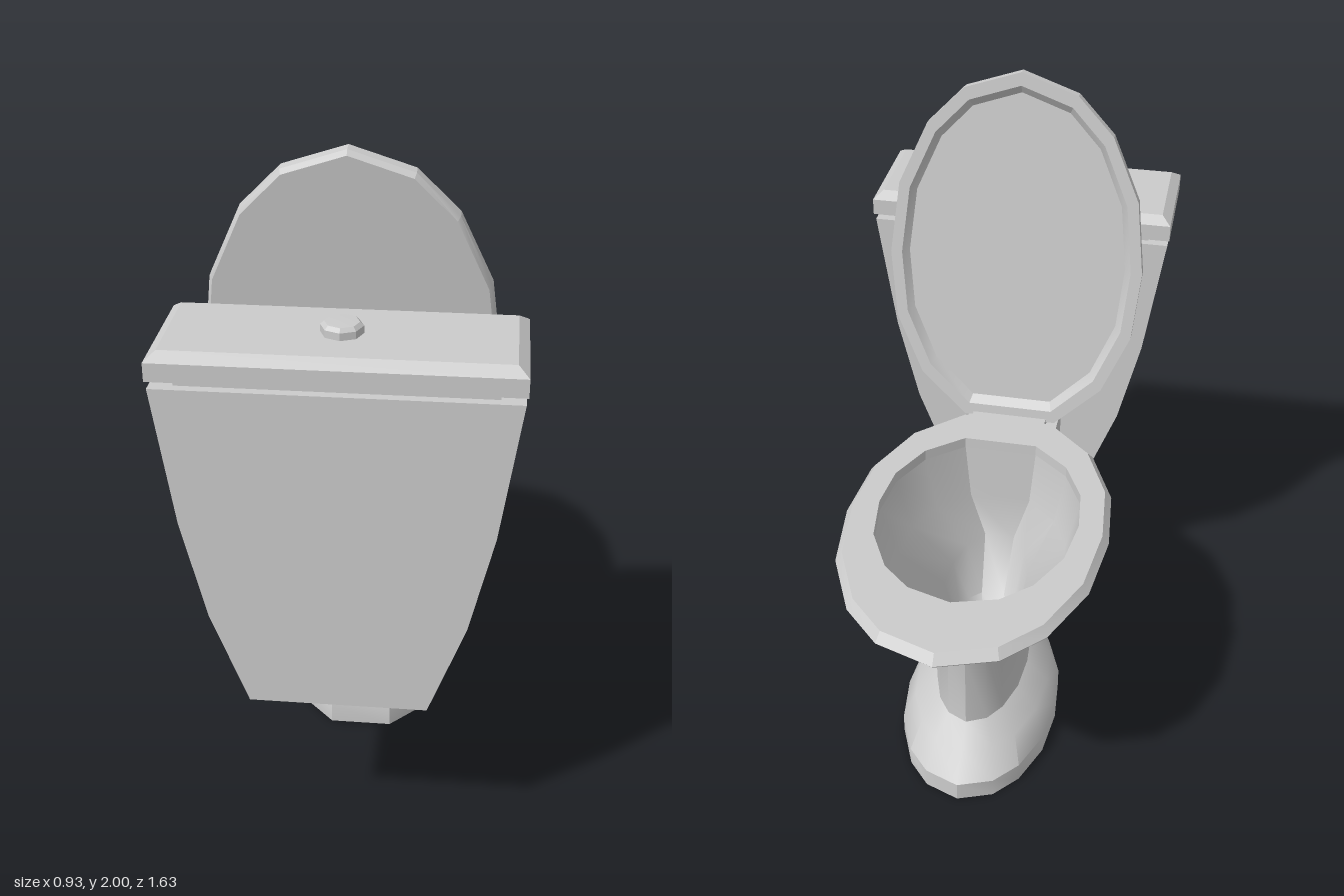
import * as THREE from 'three';
import { toCreasedNormals } from 'three/addons/utils/BufferGeometryUtils.js';

const material = new THREE.MeshStandardMaterial({ color: 0xcccccc, side: THREE.DoubleSide });

// Half of the egg-shaped plan: [share of half width, share of length from the tip]
const half = [[0, 0], [0.43, 0.05], [0.71, 0.15], [0.93, 0.32], [1, 0.52], [0.95, 0.71], [0.74, 0.88], [0.375, 1]];
const mirrored = (pts) => pts.slice().reverse().map(([u, t]) => [-u, t]);
const egg = [...half, ...mirrored(half.slice(1))];
const rectangle = [[1, 0], [1, 1], [-1, 1], [-1, 0]];

// Skins a stack of rings, each [y, half width, z of tip, z of back]
function loft(outline, rings, crease, capped = true) {
  const n = outline.length;
  const positions = [];
  const index = [];
  for (const [y, w, z0, z1] of rings) {
    for (const [u, t] of outline) positions.push(u * w, y, z0 + (z1 - z0) * t);
  }
  for (let r = 0; r < rings.length - 1; r++) {
    for (let i = 0; i < n; i++) {
      const a = r * n + i, b = r * n + (i + 1) % n;
      index.push(a, a + n, b + n, a, b + n, b);
    }
  }
  if (capped) {
    const top = (rings.length - 1) * n;
    for (let i = 1; i < n - 1; i++) {
      index.push(0, i, i + 1);
      index.push(top, top + i + 1, top + i);
    }
  }
  const geometry = new THREE.BufferGeometry();
  geometry.setAttribute('position', new THREE.Float32BufferAttribute(positions, 3));
  geometry.setIndex(index);
  return toCreasedNormals(geometry, crease);
}

export function createModel() {
  const model = new THREE.Group();
  model.name = 'toilet';
  const add = (name, geometry, x = 0, y = 0, z = 0) => {
    const mesh = new THREE.Mesh(geometry, material);
    mesh.name = name;
    mesh.position.set(x, y, z);
    model.add(mesh);
    return mesh;
  };

  // Foot, pedestal and bowl: up the outside, over the rim, down the inside
  add('bowl', loft(egg, [
    [0, 0.25, -0.555, 0.22],
    [0.065, 0.25, -0.555, 0.22],
    [0.14, 0.215, -0.48, 0.2],
    [0.2, 0.145, -0.41, 0.17],
    [0.48, 0.14, -0.41, 0.165],
    [0.55, 0.2, -0.425, 0.17],
    [0.64, 0.3, -0.58, 0.21],
    [0.73, 0.35, -0.67, 0.265],
    [0.82, 0.39, -0.76, 0.315],
    [0.82, 0.36, -0.71, 0.27],
    [0.85, 0.36, -0.71, 0.27],
    [0.85, 0.305, -0.59, 0.165],
    [0.66, 0.26, -0.53, 0.16],
    [0.5, 0.13, -0.4, 0.155],
    [0.34, 0.1, -0.26, 0.04],
    [0.28, 0.06, -0.2, -0.02],
  ], 0.65));

  // Seat ring with a flared lower edge
  add('seat', loft(egg, [
    [0.845, 0.305, -0.59, 0.165],
    [0.845, 0.395, -0.805, 0.312],
    [0.857, 0.4, -0.815, 0.315],
    [0.885, 0.38, -0.79, 0.29],
    [0.885, 0.305, -0.59, 0.165],
    [0.845, 0.305, -0.59, 0.165],
  ], 0.3, false));

  // Raised seat lid, recessed on the side that faces the seat
  const lid = add('seatLid', loft(egg, [
    [0.022, 0.34, -1.075, -0.065],
    [0, 0.36, -1.1, -0.04],
    [0, 0.395, -1.14, 0],
    [0.03, 0.395, -1.14, 0],
    [0.046, 0.385, -1.13, -0.01],
  ], 0.3), 0, 0.87, 0.32);
  lid.rotation.x = Math.PI / 2 + 0.132;

  // Hinge between the seat and its lid
  add('hinge', new THREE.BoxGeometry(0.24, 0.03, 0.07), 0, 0.865, 0.315);

  // Trough-shaped link from bowl to tank
  const link = new THREE.Shape();
  link.moveTo(-0.15, 0.82);
  link.lineTo(-0.15, 0.66);
  link.quadraticCurveTo(-0.15, 0.55, -0.06, 0.55);
  link.lineTo(0.06, 0.55);
  link.quadraticCurveTo(0.15, 0.55, 0.15, 0.66);
  link.lineTo(0.15, 0.82);
  const linkGeometry = new THREE.ExtrudeGeometry(link, { depth: 0.3, bevelEnabled: false, curveSegments: 6 });
  add('tankLink', toCreasedNormals(linkGeometry, 0.65), 0, 0, 0.175);

  // Tank narrowing toward the bottom
  add('tank', loft(rectangle, [
    [0.55, 0.24, 0.467, 0.815],
    [0.82, 0.34, 0.467, 0.815],
    [1.1, 0.405, 0.467, 0.815],
    [1.48, 0.46, 0.467, 0.815],
  ], 0.1));

  // Tank cover: inset neck, slab and bevelled top
  add('tankCover', loft(rectangle, [
    [1.48, 0.4, 0.49, 0.79],
    [1.5, 0.4, 0.49, 0.79],
    [1.5, 0.465, 0.46, 0.817],
    [1.55, 0.465, 0.46, 0.817],
    [1.572, 0.437, 0.49, 0.785],
  ], 0.1));

  // Flush button
  const button = new THREE.LatheGeometry(
    [[0.055, 0], [0.055, 0.022], [0.045, 0.032], [0, 0.034]].map(([r, y]) => new THREE.Vector2(r, y)), 8);
  add('flushButton', toCreasedNormals(button, 0.5), 0, 1.57, 0.637);

  return model;
}
